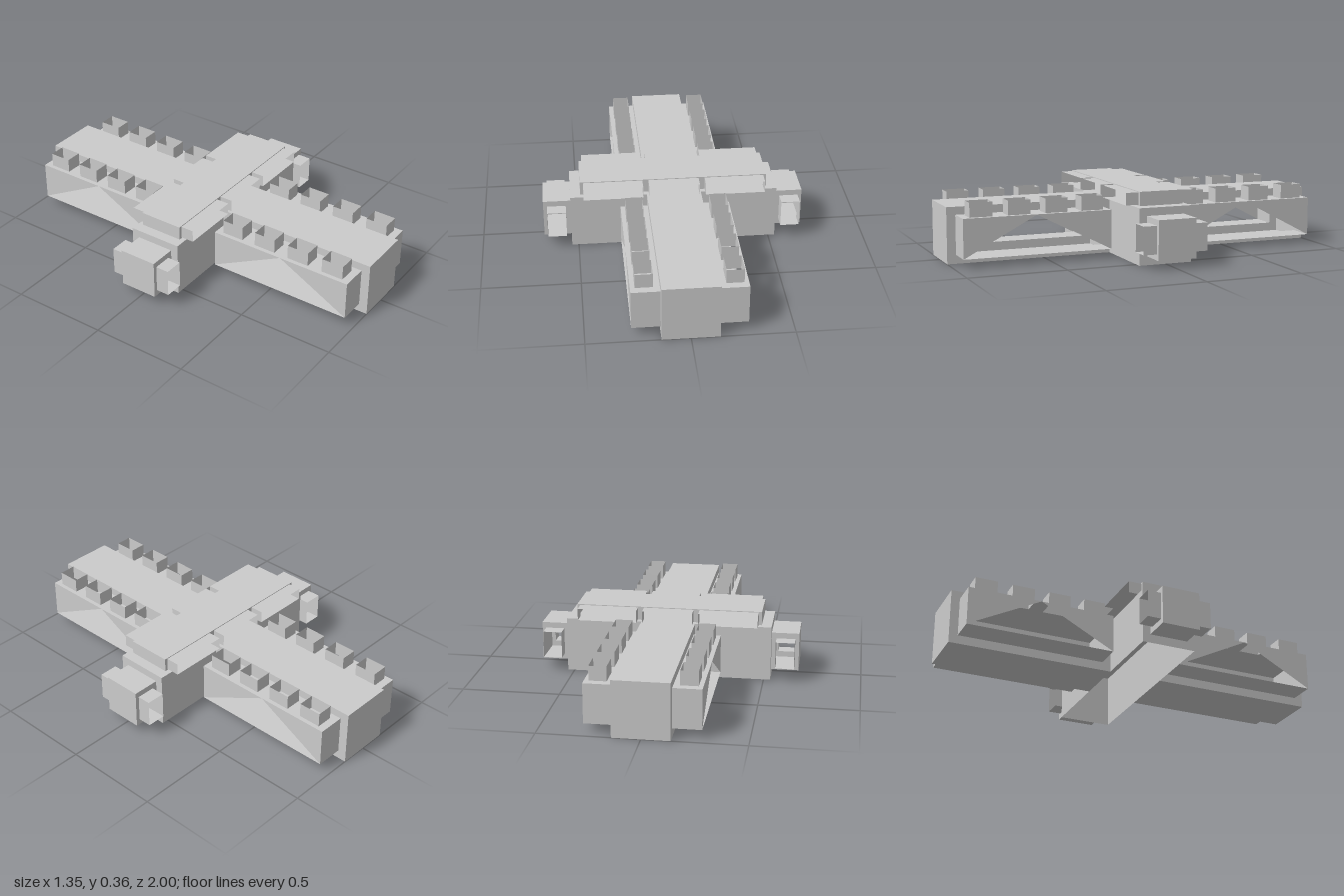
import * as THREE from 'three';
import { mergeGeometries } from 'three/addons/utils/BufferGeometryUtils.js';

const material = new THREE.MeshStandardMaterial({ color: 0xcccccc, side: THREE.DoubleSide, flatShading: true });

const rect = (u0, v0, u1, v1) => [[u0, v0], [u1, v0], [u1, v1], [u0, v1]];
const toPoints = (list) => list.map(([u, v]) => new THREE.Vector2(u, v));

// Flat panel across one axis; its outline runs in the next two axes (x: y,z  y: z,x  z: x,y)
function panel(axis, at, sign, outline, holes = []) {
  const shape = new THREE.Shape(toPoints(outline));
  for (const hole of holes) shape.holes.push(new THREE.Path(toPoints(hole)));
  const geo = new THREE.ShapeGeometry(shape);
  const pos = geo.attributes.position;
  for (let i = 0; i < pos.count; i++) {
    const p = [0, 0, 0];
    p[axis] = at;
    p[(axis + 1) % 3] = pos.getX(i);
    p[(axis + 2) % 3] = pos.getY(i);
    pos.setXYZ(i, ...p);
  }
  if (sign < 0) geo.index.array.reverse();
  geo.computeVertexNormals();
  return geo;
}

// Hollow box from two opposite corners; faces may be left out or pierced
function shell(a, b, { omit = [], holes = {} } = {}) {
  const lo = a.map((v, i) => Math.min(v, b[i]));
  const hi = a.map((v, i) => Math.max(v, b[i]));
  const parts = [];
  for (let axis = 0; axis < 3; axis++) {
    const u = (axis + 1) % 3, v = (axis + 2) % 3;
    for (const sign of [-1, 1]) {
      const key = (sign > 0 ? '+' : '-') + 'xyz'[axis];
      if (omit.includes(key)) continue;
      parts.push(panel(axis, sign > 0 ? hi[axis] : lo[axis], sign,
        rect(lo[u], lo[v], hi[u], hi[v]), holes[key]));
    }
  }
  return parts;
}

export function createModel() {
  const model = new THREE.Group();
  const add = (name, parts) => {
    const mesh = new THREE.Mesh(mergeGeometries(parts), material);
    mesh.name = name;
    model.add(mesh);
  };
  const side = (s, axis) => (s > 0 ? '+' : '-') + axis;

  // Cross arm, open underneath
  add('crossArm', shell([-0.535, 0, -0.14], [0.535, 0.285, 0.14], { omit: ['-y'] }));

  const ventZ = [0.28, 0.47, 0.663, 0.858];
  const ventX = 0.215, ventW = 0.043, ventD = 0.058;

  for (const sz of [1, -1]) {
    // Long hull half, open to the side bays
    const bay = [rect(0.045, sz * 0.185, 0.245, sz * 0.955)];
    add('hull', shell([-0.14, 0, sz * 0.14], [0.14, 0.285, sz], {
      omit: [side(-sz, 'z')], holes: { '+x': bay, '-x': bay },
    }));

    for (const sx of [1, -1]) {
      // Side bay with a triangular window in its outer wall
      const vents = ventZ.map((z) => rect(sz * z - ventD, sx * ventX - ventW, sz * z + ventD, sx * ventX + ventW));
      const wall = [0.185, 0.955].map((z) =>
        panel(0, sx * 0.28, sx, [[0.045, sz * z], [0.245, sz * z], [0.245, sz * 0.575]]));
      add('sideBay', [
        ...shell([sx * 0.14, 0.045, sz * 0.185], [sx * 0.28, 0.245, sz * 0.955],
          { omit: ['+x', '-x'], holes: { '+y': vents } }),
        ...wall,
      ]);

      // Open square vents along the bay roof
      for (const z of ventZ) {
        add('vent', shell([sx * ventX - ventW, 0.245, sz * z - ventD],
          [sx * ventX + ventW, 0.318, sz * z + ventD], { omit: ['+y', '-y'] }));
      }
    }
  }

  // Pods at the arm ends, each with a duct running front to back
  for (const sx of [1, -1]) {
    const opening = [rect(sx * 0.56, 0.075, sx * 0.657, 0.215)];
    add('endPod', shell([sx * 0.535, 0.045, -0.1], [sx * 0.677, 0.245, 0.1], {
      omit: [side(-sx, 'x')], holes: { '+z': opening, '-z': opening },
    }));
    for (const sz of [1, -1]) {
      add('podDuct', shell([sx * 0.56, 0.075, sz * 0.1], [sx * 0.657, 0.215, sz * 0.17], { omit: ['+z', '-z'] }));
    }
  }

  // Roof block with three ducts opening to front and back
  const ducts = [[-0.467, -0.161], [-0.13, 0.13], [0.161, 0.467]];
  const openings = ducts.map(([x0, x1]) => rect(x0, 0.292, x1, 0.354));
  add('roofBlock', shell([-0.483, 0.287, -0.115], [0.483, 0.358, 0.115], {
    omit: ['-y'], holes: { '+z': openings, '-z': openings },
  }));
  for (const [x0, x1] of ducts) {
    for (const sz of [1, -1]) {
      add('roofDuct', shell([x0, 0.292, sz * 0.115], [x1, 0.354, sz * 0.184], { omit: ['+z', '-z'] }));
    }
  }
  return model;
}
